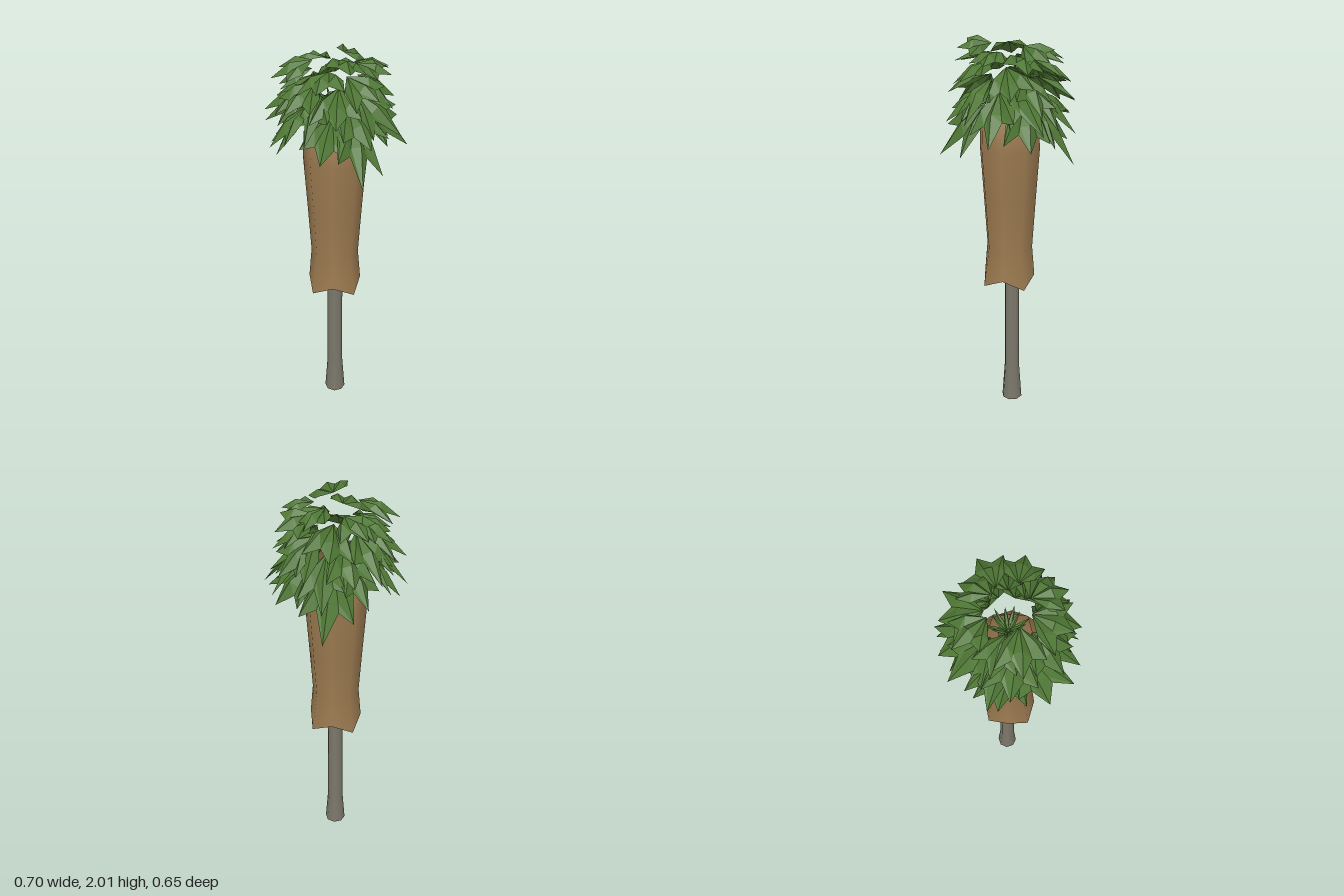
import * as THREE from 'three';

const DS = THREE.DoubleSide;
const bark = new THREE.MeshStandardMaterial({ color: 0x7b776a, side: DS });
bark.name = 'greyBark';
const straw = new THREE.MeshStandardMaterial({ color: 0x9b7a50, side: DS });
straw.name = 'dryThatch';
const green = new THREE.MeshStandardMaterial({ color: 0x4e7634, side: DS, flatShading: true });
green.name = 'leafGreen';

// small seeded generator for natural variation
let seed = 29;
const rand = () => (seed = (seed * 16807) % 2147483647) / 2147483647;
const vary = (amount) => (rand() * 2 - 1) * amount;

function add(parent, name, geometry, material) {
  const mesh = new THREE.Mesh(geometry, material);
  mesh.name = name;
  parent.add(mesh);
  return mesh;
}

const lathe = (profile, sides) =>
  new THREE.LatheGeometry(profile.map(([r, y]) => new THREE.Vector2(r, y)), sides);

// thatch skirt: open eight-sided sleeve, hem corners hang and top corners rise on the diagonals
function skirtGeometry() {
  const profile = [[0.143, 0.755], [0.122, 0.94], [0.138, 1.2], [0.156, 1.47], [0.15, 1.6], [0.104, 1.69]];
  const rows = profile.length;
  const geo = lathe(profile, 8);
  const pos = geo.attributes.position;
  for (let i = 0; i < pos.count; i++) {
    const row = i % rows, diagonal = Math.floor(i / rows) % 2 === 1;
    if (row === 0) {
      const flare = diagonal ? 1.07 : 0.95;
      pos.setXYZ(i, pos.getX(i) * flare, diagonal ? 0.73 : 0.78, pos.getZ(i) * flare);
    }
    if (row === rows - 1) pos.setY(i, diagonal ? 1.71 : 1.65);
  }
  return geo;
}

// pleated three-lobed fan leaf pointing along +z from its hub, drooping toward the tips
function fanGeometry(length, pitch, droop) {
  const lines = 6, spread = 1.0;
  const at = (d, a, lift) => {
    const f = d * Math.cos(a);
    return new THREE.Vector3(
      d * Math.sin(a),
      f * Math.sin(pitch) + lift * Math.cos(pitch) - (droop * d * d) / length,
      f * Math.cos(pitch) - lift * Math.sin(pitch));
  };
  const mid = [], tip = [];
  for (let i = 0; i <= lines; i++) {
    const t = (i / lines) * 2 - 1, ridge = i % 2 === 1;
    const reach = length * (1 - 0.25 * t * t);
    const lift = ridge ? 0.014 : -0.012;
    mid.push(at(reach * 0.55, t * spread, lift));
    tip.push(at(reach * (ridge ? 1 + vary(0.1) : 0.68), t * spread, lift));
  }
  const hub = new THREE.Vector3(), corners = [];
  for (let i = 0; i < lines; i++) {
    corners.push(hub, mid[i], mid[i + 1]);
    corners.push(mid[i], tip[i], tip[i + 1], mid[i], tip[i + 1], mid[i + 1]);
  }
  const geo = new THREE.BufferGeometry().setFromPoints(corners);
  geo.computeVertexNormals();
  return geo;
}

export function createModel() {
  const model = new THREE.Group();
  model.name = 'palmTree';

  // trunk, open at both ends
  const trunk = add(model, 'trunk',
    lathe([[0.056, 0], [0.042, 0.2], [0.04, 0.8], [0.038, 1.68]], 8), bark);
  trunk.position.z = -0.013;

  add(model, 'thatchSkirt', skirtGeometry(), straw);

  const crown = new THREE.Group();
  crown.name = 'crown';
  model.add(crown);

  // starburst of young spindle shoots at the heart of the crown
  const shoot = lathe([[0, 0], [0.011, 0.045], [0.008, 0.08], [0, 0.12]], 5);
  const shoots = 14;
  for (let i = 0; i < shoots; i++) {
    const spike = add(crown, 'youngShoot', shoot, green);
    spike.rotation.set(i % 2 ? 1.05 : 0.7, (i / shoots) * Math.PI * 2, 0, 'YXZ');
    spike.position.set(-0.008, 1.71, -0.008);
  }

  // dome of fan leaves spiralling down from the crown's rim, steeper toward the bottom
  const fans = 31;
  for (let i = 0; i < fans; i++) {
    const u = i / (fans - 1);
    const frond = new THREE.Group();
    frond.name = 'frond';
    frond.rotation.y = 0.4 + i * 2.39996 + vary(0.1);
    crown.add(frond);
    const leaf = add(frond, 'fanLeaf',
      fanGeometry((0.18 + 0.05 * u) * (1 + vary(0.08)), 0.3 - 0.95 * u + vary(0.15), 0.6), green);
    leaf.position.set(0, 1.98 - 0.28 * u + vary(0.012), 0.08 + 0.055 * Math.sqrt(u) + vary(0.012));
    leaf.rotation.set(0, vary(0.25), vary(0.35));
  }
  return model;
}
